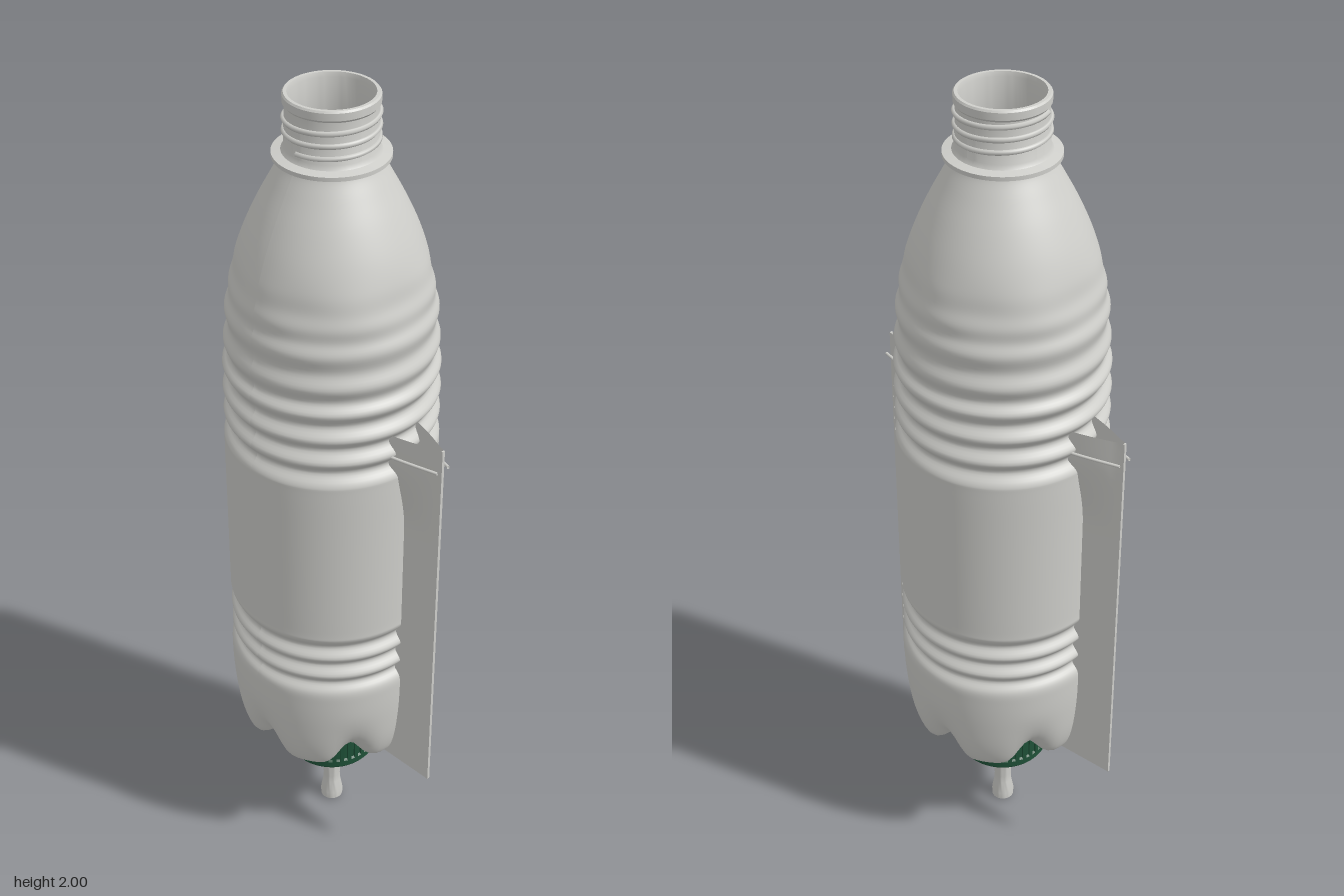
import * as THREE from 'three';
import { toCreasedNormals } from 'three/addons/utils/BufferGeometryUtils.js';

const shell = new THREE.MeshStandardMaterial({ color: 0xcfcfcb, side: THREE.DoubleSide });
shell.name = 'pale grey plastic';
const green = new THREE.MeshStandardMaterial({ color: 0x1f5138, side: THREE.DoubleSide });
green.name = 'dark green plastic';

const vec = (p) => new THREE.Vector2(p[0], p[1]);

function part(name, geometry, material, parent) {
  const mesh = new THREE.Mesh(geometry, material);
  mesh.name = name;
  parent.add(mesh);
  return mesh;
}

// Lathe with crisp edges
function turned(points, segments = 64) {
  return toCreasedNormals(new THREE.LatheGeometry(points.map(vec), segments), 0.6);
}

// Move every vertex of a geometry by a rule
function reshape(geometry, rule) {
  const pos = geometry.attributes.position;
  const v = new THREE.Vector3();
  for (let i = 0; i < pos.count; i++) {
    v.fromBufferAttribute(pos, i);
    rule(v);
    pos.setXYZ(i, v.x, v.y, v.z);
  }
  geometry.computeVertexNormals();
  return geometry;
}

// Ribbed body with a six-lobed foot and a faintly six-sided shoulder
function bodyGeometry() {
  const profile = [
    [0.085, 0.36], [0.12, 0.345], [0.15, 0.322], [0.175, 0.315], [0.2, 0.318], [0.218, 0.345],
    [0.232, 0.4], [0.241, 0.48], [0.244, 0.55], [0.242, 0.59],
    [0.226, 0.615], [0.242, 0.643], [0.226, 0.67], [0.242, 0.698], [0.227, 0.725], [0.241, 0.752],
    [0.242, 0.78], [0.242, 0.9], [0.242, 1.05], [0.242, 1.17], [0.24, 1.198],
    [0.223, 1.225], [0.241, 1.255], [0.224, 1.285], [0.241, 1.315], [0.224, 1.345], [0.24, 1.378],
    [0.225, 1.405], [0.236, 1.44], [0.224, 1.475], [0.231, 1.515], [0.221, 1.545], [0.22, 1.575],
    [0.211, 1.605], [0.203, 1.645], [0.184, 1.7], [0.157, 1.76], [0.128, 1.815], [0.109, 1.85], [0.104, 1.865],
  ];
  const points = new THREE.SplineCurve(profile.map(vec)).getPoints(200);
  return reshape(new THREE.LatheGeometry(points, 96), (v) => {
    const wave = Math.cos(6 * Math.atan2(v.x, v.z));
    const foot = THREE.MathUtils.clamp((0.52 - v.y) / 0.2, 0, 1);
    const groove = Math.pow((1 + wave) / 2, 3) * foot * foot;
    const radius = Math.hypot(v.x, v.z);
    const shoulder = 0.012 * wave * Math.exp(-Math.pow((v.y - 1.6) / 0.05, 2));
    const scale = 1 - 0.14 * groove + shoulder;
    v.x *= scale;
    v.z *= scale;
    v.y += 0.045 * groove * THREE.MathUtils.smoothstep(radius, 0.1, 0.18);
  });
}

// Half-gap between the two sheets of the wing sleeve
function gap(x, y) {
  const reach = Math.max(0, 1 - Math.abs(x) / 0.342);
  const closed = 0.003 + 0.01 * Math.min(1, reach * 1.4);
  const flare = THREE.MathUtils.smoothstep(y, 1.04, 1.25);
  const open = 0.062 * (1 - Math.pow(1 - reach, 2.4));
  return closed + Math.max(0, open - closed) * flare;
}

function buildWings(root) {
  const wings = new THREE.Group();
  wings.name = 'wingSleeve';
  root.add(wings);
  for (const side of [1, -1]) {
    const sheet = new THREE.PlaneGeometry(0.684, 0.985, 48, 48).translate(0, 0.8075, 0);
    reshape(sheet, (v) => { v.z = side * gap(v.x, v.y); });
    part(side > 0 ? 'frontSheet' : 'backSheet', sheet, shell, wings);

    // Thin rod across the flared mouth
    const path = [-0.343, -0.24, -0.12, 0, 0.12, 0.24, 0.343].map((x) => {
      const z = 0.017 + 0.053 * (1 - Math.pow(Math.abs(x) / 0.343, 2));
      return new THREE.Vector3(x, 1.25, side * z);
    });
    const rod = new THREE.TubeGeometry(new THREE.CatmullRomCurve3(path), 40, 0.0035, 8);
    part(side > 0 ? 'frontRod' : 'backRod', rod, shell, wings);
  }
  // Closed outer edges
  for (const side of [1, -1]) {
    const edge = part('wingEdge', new THREE.BoxGeometry(0.004, 0.985, 0.007), shell, wings);
    edge.position.set(side * 0.341, 0.8075, 0);
    const spacer = part('sleeveSpacer', new THREE.BoxGeometry(0.02, 0.04, 0.026), shell, wings);
    spacer.position.set(side * 0.03, 1.0, 0);
  }
}

function buildNeck(root) {
  // Collar, neck wall and rolled lip
  part('neck', turned([
    [0.104, 1.85], [0.108, 1.861], [0.124, 1.863], [0.124, 1.872], [0.104, 1.876], [0.098, 1.885],
    [0.096, 1.975], [0.1, 1.98], [0.1, 1.996], [0.097, 2], [0.09, 2], [0.087, 1.99], [0.087, 1.88], [0.095, 1.855],
  ]), shell, root);
  // Screw thread
  const turns = 2.8;
  const helix = [];
  for (let i = 0; i <= 90; i++) {
    const a = (i / 90) * turns * Math.PI * 2;
    helix.push(new THREE.Vector3(0.097 * Math.sin(a), 1.895 + (0.075 * i) / 90, 0.097 * Math.cos(a)));
  }
  part('screwThread', new THREE.TubeGeometry(new THREE.CatmullRomCurve3(helix), 180, 0.006, 6), shell, root);
}

function buildCap(root) {
  const cap = new THREE.Group();
  cap.name = 'cap';
  root.add(cap);
  part('capShell', turned([
    [0, 0.216], [0.098, 0.216], [0.101, 0.207], [0.109, 0.207], [0.114, 0.214],
    [0.114, 0.23], [0.109, 0.234], [0.109, 0.355], [0.1, 0.36], [0, 0.36],
  ]), green, cap);
  // Grip ribs
  const count = 36;
  for (let i = 0; i < count; i++) {
    const a = (i / count) * Math.PI * 2;
    const rib = part('gripRib', new THREE.BoxGeometry(0.01, 0.118, 0.01), green, cap);
    rib.position.set(0.109 * Math.sin(a), 0.289, 0.109 * Math.cos(a));
    rib.rotation.y = a;
  }
}

export function createModel() {
  const root = new THREE.Group();
  root.name = 'bottleFeeder';
  part('bottleBody', bodyGeometry(), shell, root);
  buildNeck(root);
  buildWings(root);
  buildCap(root);
  // Spout with a flared, hollow tip
  part('spout', turned([
    [0, 0.03], [0.018, 0.03], [0.019, 0.002], [0.022, 0], [0.028, 0.006], [0.028, 0.025],
    [0.022, 0.06], [0.021, 0.08], [0.024, 0.12], [0.024, 0.22],
  ], 32), shell, root);
  return root;
}
